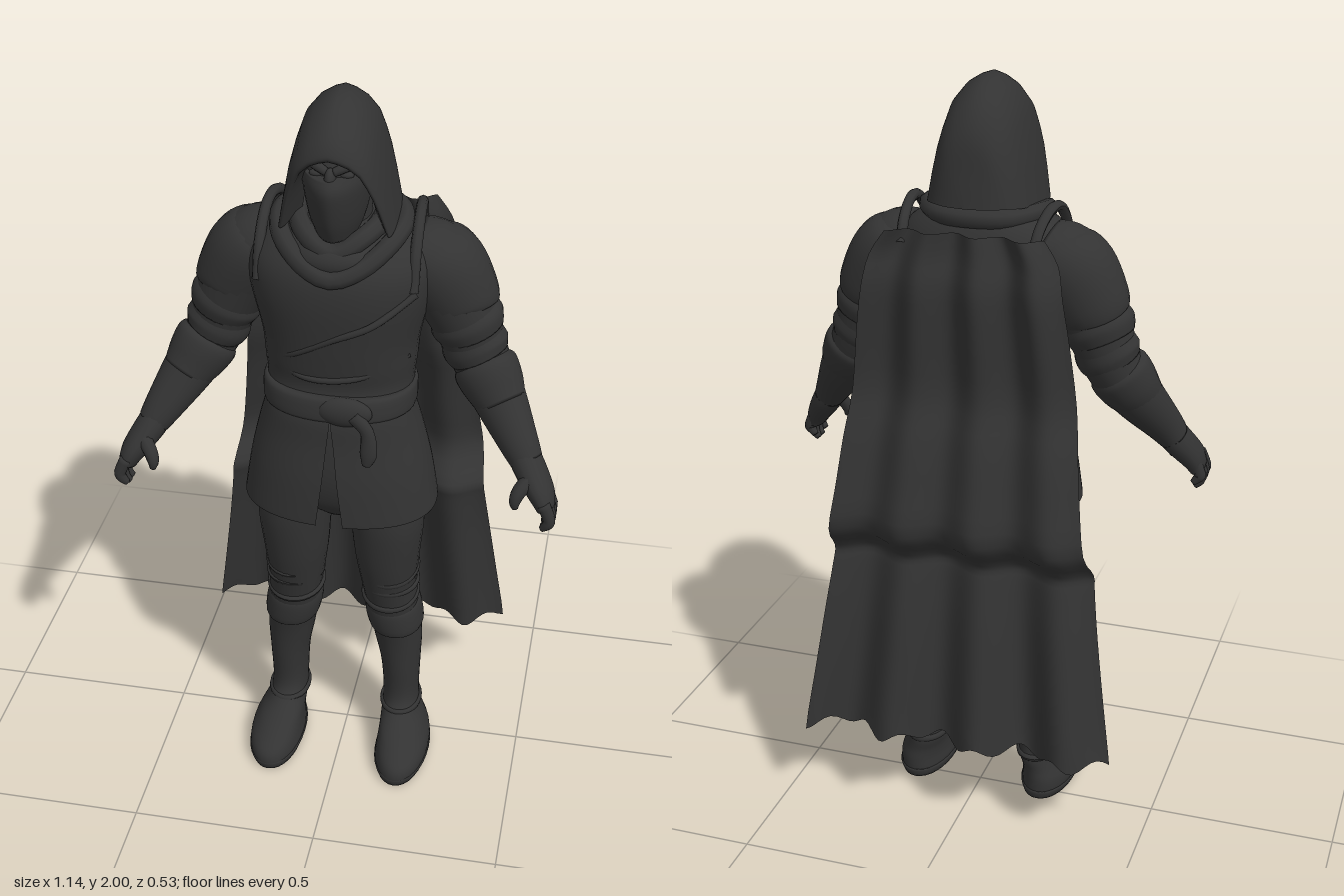
import * as THREE from 'three';

const cloth = new THREE.MeshStandardMaterial({ color: 0x333333, side: THREE.DoubleSide });
cloth.name = 'charcoal cloth';
const V = (x, y, z) => new THREE.Vector3(x, y, z);

// Smoothly interpolate rows of numbers
function smooth(rows, steps = 5) {
  const out = [];
  for (let i = 0; i < rows.length - 1; i++) {
    const p0 = rows[Math.max(i - 1, 0)], p1 = rows[i], p2 = rows[i + 1], p3 = rows[Math.min(i + 2, rows.length - 1)];
    for (let s = 0; s < steps; s++) {
      const t = s / steps, t2 = t * t, t3 = t2 * t;
      out.push(p1.map((v, k) => (2 * t3 - 3 * t2 + 1) * v + (t3 - 2 * t2 + t) * (p2[k] - p0[k]) / 2
        + (3 * t2 - 2 * t3) * p2[k] + (t3 - t2) * (p3[k] - v) / 2));
    }
  }
  out.push(rows[rows.length - 1]);
  return out;
}

// Surface through rows of points
function skin(rings, closed = true) {
  const n = rings[0].length, pos = [], idx = [];
  rings.forEach(r => r.forEach(p => pos.push(p.x, p.y, p.z)));
  for (let i = 0; i < rings.length - 1; i++) {
    for (let j = 0; j < (closed ? n : n - 1); j++) {
      const a = i * n + j, b = i * n + (j + 1) % n;
      idx.push(a, b, a + n, b, b + n, a + n);
    }
  }
  const g = new THREE.BufferGeometry();
  g.setAttribute('position', new THREE.Float32BufferAttribute(pos, 3));
  g.setIndex(idx);
  g.computeVertexNormals();
  return g;
}

function cap(rings) {
  const pole = r => {
    const c = r.reduce((s, p) => s.add(p), V(0, 0, 0)).divideScalar(r.length);
    return r.map(() => c);
  };
  return [pole(rings[0]), ...rings, pole(rings[rings.length - 1])];
}

const bend = (v, p) => Math.sign(v) * Math.abs(v) ** p;

// Stacked horizontal sections, bottom up: [y, cx, cz, rx, rz, frontGap]
function stack(rows, { p = 0.88, seg = 40, open = false, steps = 5 } = {}) {
  const rings = smooth(rows, steps).map(([y, cx, cz, rx, rz, gap = 0]) =>
    Array.from({ length: open ? seg + 1 : seg }, (_, j) => {
      const t = gap + (2 * Math.PI - 2 * gap) * j / seg;
      return V(cx + rx * bend(Math.sin(t), p), y, cz + rz * bend(Math.cos(t), p));
    }));
  return skin(open ? rings : cap(rings), !open);
}

// Sections square to a path: [x, y, z, radiusAcross, radiusInZ]
function limb(rows, seg = 20, steps = 5) {
  const s = smooth(rows, steps), at = i => V(...s[Math.min(Math.max(i, 0), s.length - 1)].slice(0, 3));
  return skin(cap(s.map((r, i) => {
    const T = at(i + 1).sub(at(i - 1)).normalize();
    const U = T.clone().cross(V(0, 0, 1)).normalize(), W = U.clone().cross(T);
    return Array.from({ length: seg }, (_, j) => {
      const t = 2 * Math.PI * j / seg;
      return V(...r.slice(0, 3)).addScaledVector(U, r[3] * Math.sin(t)).addScaledVector(W, r[4] * Math.cos(t));
    });
  })));
}

const tube = (pts, r, closed = false) =>
  new THREE.TubeGeometry(new THREE.CatmullRomCurve3(pts.map(q => V(...q)), closed), 40, r, 8, closed);

const ball = (x, y, z, rx, ry, rz) =>
  new THREE.SphereGeometry(1, 24, 16).scale(rx, ry, rz).translate(x, y, z);

function mirrored(geo) {
  const g = geo.clone().scale(-1, 1, 1), a = g.index.array;
  for (let i = 0; i < a.length; i += 3) [a[i], a[i + 1]] = [a[i + 1], a[i]];
  g.computeVertexNormals();
  return g;
}

export function createModel() {
  const model = new THREE.Group();
  const add = (name, geo) => {
    const m = new THREE.Mesh(geo, cloth);
    m.name = name;
    model.add(m);
  };
  const pair = (name, geo) => { add(name + 'Left', geo); add(name + 'Right', mirrored(geo)); };
  // Loop symmetrical about x = 0, from half its points
  const loop = half => [...half, ...half.slice(1, -1).reverse().map(([x, y, z]) => [-x, y, z])];

  // Tunic, split skirt and hips
  add('tunic', stack([[1.18, 0, .09, .188, .138], [1.25, 0, .077, .187, .13], [1.31, 0, .072, .193, .142],
    [1.38, 0, .068, .2, .155], [1.5, 0, .062, .228, .172], [1.58, 0, .055, .228, .168],
    [1.64, 0, .042, .19, .14], [1.69, 0, .035, .11, .105]]));
  add('skirt', stack([[.875, 0, .077, .253, .176, .1], [.89, 0, .077, .253, .177, .1], [1, 0, .08, .235, .17, .06],
    [1.1, 0, .084, .212, .155, .03], [1.17, 0, .09, .193, .145, .005], [1.21, 0, .088, .185, .135, 0]], { open: true, seg: 60 }));
  add('hips', stack([[.84, 0, .07, .06, .08], [.9, 0, .075, .17, .115], [1, 0, .08, .19, .13], [1.15, 0, .085, .17, .12]]));

  // Belt with knot and hanging end
  add('belt', stack([[1.18, 0, .088, .19, .142], [1.19, 0, .088, .196, .148], [1.235, 0, .084, .196, .146], [1.245, 0, .082, .188, .136]], { steps: 3 }));
  add('beltKnot', ball(.035, 1.21, .222, .07, .04, .025));
  add('beltEnd', limb([[.06, 1.21, .235, .02, .015], [.095, 1.17, .24, .018, .014], [.1, 1.11, .245, .022, .013], [.095, 1.075, .245, .012, .01]], 12));

  // Chest folds
  add('chestFold', tube([[.2, 1.53, .17], [.1, 1.46, .225], [0, 1.41, .222], [-.1, 1.35, .197], [-.175, 1.3, .13]], .009));
  add('waistFold', tube([[-.18, 1.33, .12], [-.08, 1.29, .199], [.06, 1.3, .207], [.18, 1.34, .13]], .008));

  // Scarf layers around the neck
  add('scarfOuter', tube(loop([[0, 1.575, .218], [.07, 1.6, .2], [.135, 1.65, .14], [.15, 1.67, .04], [.09, 1.67, -.06], [0, 1.67, -.085]]), .025, true));
  add('scarfInner', tube(loop([[0, 1.63, .19], [.07, 1.665, .16], [.105, 1.685, .06], [.07, 1.685, -.03], [0, 1.685, -.05]]), .026, true));
  add('scarfFront', ball(0, 1.61, .15, .11, .055, .075));
  add('neck', stack([[1.6, 0, .06, .08, .08], [1.75, 0, .08, .07, .08]]));

  // Head, pointed mask, brow and eyes
  add('head', ball(0, 1.81, .095, .085, .12, .115));
  add('mask', stack([[1.665, 0, .125, .05, .08], [1.72, 0, .12, .07, .11], [1.8, 0, .112, .085, .136],
    [1.835, 0, .105, .086, .13]], { p: 1.15 }));
  pair('brow', limb([[.075, 1.868, .165, .01, .01], [.04, 1.862, .198, .012, .012], [.008, 1.848, .21, .01, .01]], 10));
  pair('eye', ball(.036, 1.838, .194, .017, .009, .012));
  add('nose', ball(0, 1.83, .213, .014, .03, .022));

  // Hood: pointed arches from lining to back [peakY, peakZ, baseY, baseZ, halfWidth]
  const arch = [[0, 1], [.17, .975], [.37, .92], [.57, .81], [.69, .66], [.79, .5], [.89, .28], [1, 0]];
  const outline = [...arch.slice(1).reverse().map(([x, h]) => [-x, h]), ...arch];
  const archRow = ([py, pz, by, bz, w]) => outline.map(([x, h]) =>
    V(w * x, by + (py - by) * h, pz + (bz - pz) * (1 - h)));
  add('hood', skin([archRow([1.87, .15, 1.7, .1, .09]), ...smooth([[1.885, .236, 1.675, .155, .122],
    [1.9, .242, 1.673, .165, .13], [1.94, .215, 1.675, .155, .137], [1.985, .15, 1.68, .11, .141], [2, .08, 1.685, .06, .141],
    [1.985, .01, 1.69, .01, .137], [1.94, -.05, 1.695, -.045, .125], [1.87, -.09, 1.7, -.085, .097],
    [1.78, -.105, 1.7, -.108, .055], [1.7, -.116, 1.7, -.116, .005]]).map(archRow)], false));

  // Arms, layered sleeves and gauntlets
  pair('arm', limb([[.16, 1.58, .02, .08, .1], [.225, 1.54, .02, .105, .105], [.29, 1.425, .02, .092, .092],
    [.34, 1.3, .025, .075, .073], [.395, 1.21, .06, .07, .066], [.46, 1.11, .12, .051, .05], [.485, 1.07, .14, .042, .045]], 24));
  pair('shoulderPad', limb([[.17, 1.61, .015, .05, .07], [.2, 1.575, .015, .09, .105], [.24, 1.53, .015, .11, .112],
    [.285, 1.45, .015, .102, .1], [.295, 1.425, .018, .09, .09]], 24));
  pair('sleeveFold', limb([[.295, 1.415, .02, .088, .088], [.307, 1.39, .02, .095, .092], [.32, 1.36, .02, .084, .082]], 24));
  pair('elbowFold', limb([[.32, 1.35, .02, .08, .078], [.332, 1.32, .024, .086, .08], [.345, 1.295, .028, .075, .072]], 24));
  pair('gauntletCuff', limb([[.35, 1.285, .03, .07, .07], [.36, 1.268, .037, .083, .078], [.385, 1.228, .053, .078, .073], [.41, 1.19, .075, .064, .06]], 24));

  // Hands
  pair('palm', limb([[.465, 1.1, .125, .04, .042], [.495, 1.055, .15, .04, .05], [.53, 1.005, .182, .033, .052], [.545, .972, .192, .024, .047]], 16));
  for (let k = 0; k < 4; k++) {
    const z = .155 + k * .024, d = k === 0 ? .018 : k === 3 ? .01 : 0;
    pair('finger' + (k + 1), limb([[.54, 1, z, .017, .014], [.557, .96, z + .003, .016, .014],
      [.553, .932 + d, z + .003, .014, .013], [.54, .917 + d, z, .009, .009]], 10, 3));
  }
  pair('thumb', limb([[.505, 1.05, .185, .022, .02], [.478, 1.025, .212, .019, .018], [.468, .998, .222, .015, .015], [.47, .978, .224, .008, .008]], 10, 3));

  // Straps over the shoulders
  pair('shoulderStrap', tube([[.19, 1.53, .165], [.19, 1.62, .13], [.188, 1.68, .06], [.183, 1.685, -.01], [.175, 1.65, -.08], [.17, 1.6, -.115]], .014));

  // Trousers and boots
  pair('trouserLeg', stack([[.46, .137, .045, .07, .08], [.52, .135, .052, .072, .085], [.6, .128, .062, .077, .093],
    [.7, .125, .075, .088, .102], [.82, .125, .085, .098, .108], [.93, .115, .085, .1, .105]], { p: .95, seg: 28 }));
  [[.54, .015], [.585, -.01], [.635, .012]].forEach(([y, tilt], i) => pair('kneeFold' + (i + 1),
    new THREE.TorusGeometry(1, .1, 8, 28).rotateX(Math.PI / 2).scale(.073, .1, .084 + i * .003)
      .rotateX(tilt * 8).translate(.132, y, .055 + i * .005)));
  pair('boot', stack([[0, .18, .105, .066, .155], [.025, .182, .107, .074, .159], [.055, .182, .1, .071, .152],
    [.085, .175, .075, .062, .125], [.12, .165, .035, .053, .088], [.17, .162, .02, .05, .069], [.28, .16, .023, .055, .074],
    [.37, .153, .028, .065, .08], [.44, .145, .037, .069, .086]], { p: .95, seg: 32 }));
  pair('bootSole', stack([[0, .181, .106, .07, .156], [.018, .182, .106, .077, .161], [.024, .182, .106, .074, .158]], { p: .95, seg: 32, steps: 2 }));
  pair('bootCuff', stack([[.415, .148, .033, .066, .083], [.43, .147, .036, .075, .092], [.475, .14, .04, .078, .094],
    [.505, .137, .043, .074, .09], [.512, .137, .043, .066, .08]], { p: .95, seg: 28, steps: 3 }));
  pair('bootStrap', new THREE.TorusGeometry(1, .1, 8, 28).rotateX(Math.PI / 2).scale(.054, .1, .077).translate(.163, .13, .026));

  // Pleated cape: [y, z, halfWidth, pleatDepth], bottom up
  const cape = smooth([[.25, -.225, .42, .038], [.42, -.205, .395, .033], [.6, -.182, .37, .028], [.72, -.16, .355, .023],
    [.77, -.155, .35, .022], [.85, -.222, .338, .022], [.97, -.205, .322, .02], [1.1, -.177, .307, .02], [1.22, -.142, .292, .02],
    [1.38, -.152, .273, .021], [1.5, -.16, .255, .02], [1.58, -.142, .238, .02], [1.64, -.135, .2, .018]], 3);
  add('cape', skin(cape.map(([y, z, w, d], i) => Array.from({ length: 61 }, (_, j) => {
    const u = 1 - j / 30, phase = 2 * Math.PI * (u + .15) / .59;
    const ragged = i === 0 ? .013 * Math.cos(phase * 2.3) : 0;
    return V(w * u, y + ragged, z - d * Math.cos(phase));
  })), false));

  return model;
}
